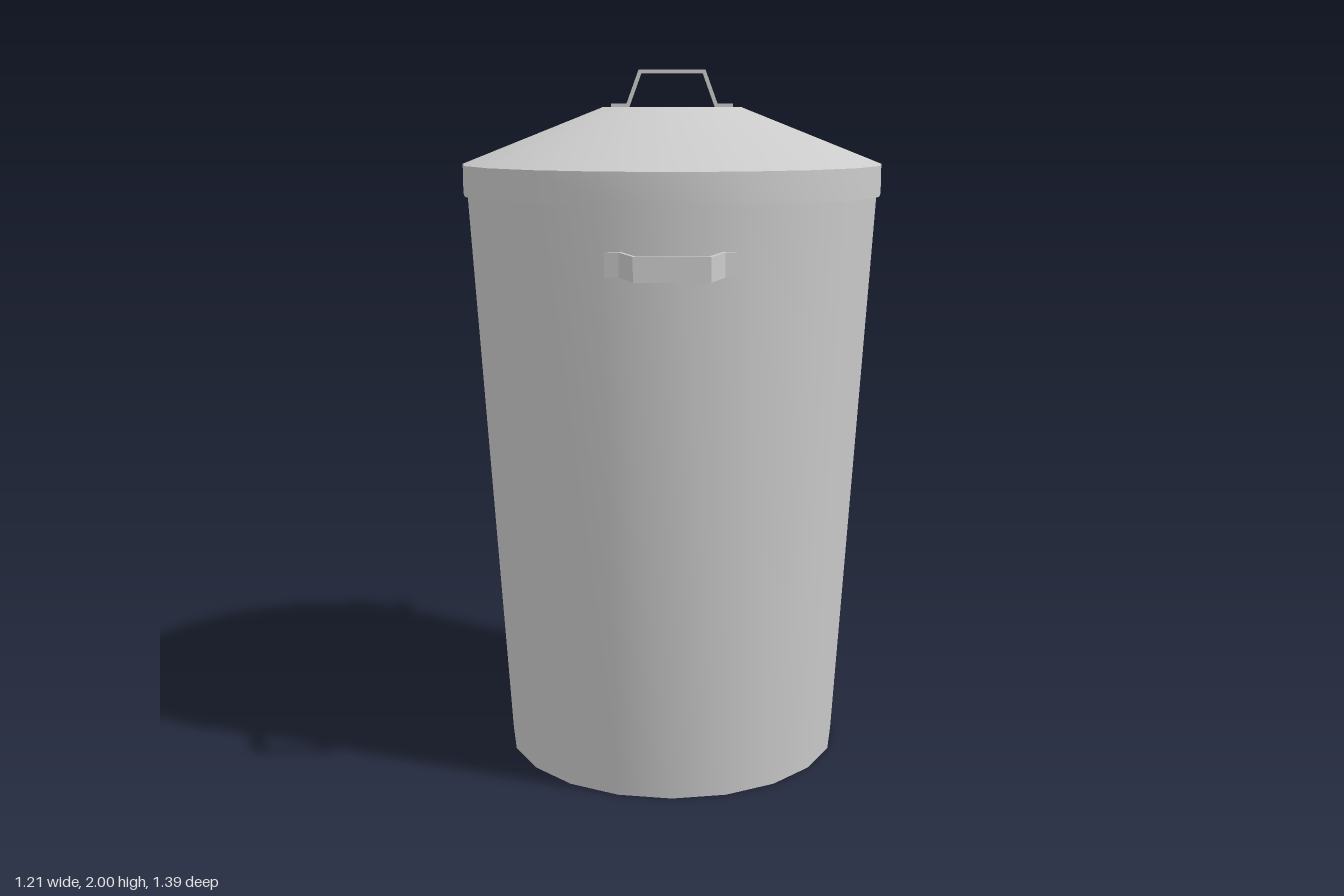
import * as THREE from 'three';
import { toCreasedNormals } from 'three/addons/utils/BufferGeometryUtils.js';

const SIDES = 20;
const material = new THREE.MeshStandardMaterial({ color: 0xcccccc });

function addMesh(parent, name, geometry) {
  const mesh = new THREE.Mesh(geometry, material);
  mesh.name = name;
  parent.add(mesh);
  return mesh;
}

// Turned part: smooth around, sharp at rims
function turned(profile) {
  const points = profile.map(([r, y]) => new THREE.Vector2(r, y));
  return toCreasedNormals(new THREE.LatheGeometry(points, SIDES), 0.5);
}

// Bent metal strip, mirrored about x = 0, centred on z = 0.
// half: right half of the outer line, from the middle of the grip to the foot
function strip(half, width, thickness = 0.01) {
  const outer = [...half.map(([x, y]) => [-x, y]).reverse(), ...half];
  // shift the line along its mitred normals to get the inner line
  const normal = (a, b) => new THREE.Vector2(b[1] - a[1], a[0] - b[0]).normalize();
  const inner = outer.map((p, i) => {
    const n1 = normal(outer[Math.max(i - 1, 0)], outer[Math.max(i, 1)]);
    const last = outer.length - 1;
    const n2 = normal(outer[Math.min(i, last - 1)], outer[Math.min(i + 1, last)]);
    const m = n1.clone().add(n2).normalize();
    const d = thickness / m.dot(n1);
    return [p[0] + m.x * d, p[1] + m.y * d];
  });
  const shape = new THREE.Shape(
    [...outer, ...inner.reverse()].map(([x, y]) => new THREE.Vector2(x, y)));
  const geometry = new THREE.ExtrudeGeometry(shape, { depth: width, bevelEnabled: false });
  return geometry.translate(0, 0, -width / 2);
}

export function createModel() {
  const model = new THREE.Group();
  model.name = 'dustbin';

  // Tapered body with a closed bottom
  addMesh(model, 'body', turned([[0, 0], [0.493, 0], [0.594, 1.66]]));

  // Lid: overhanging rim, sloping cone and small flat top
  addMesh(model, 'lid', turned([
    [0.58, 1.65], [0.605, 1.65], [0.605, 1.735], [0.2, 1.895], [0, 1.895],
  ]));

  // Grip on top of the lid
  addMesh(model, 'lidHandle', strip([[0.095, 2], [0.13, 1.905], [0.174, 1.905]], 0.05));

  // Carrying handles at front and back, feet following the wall
  for (const [name, turn] of [['frontHandle', 0], ['backHandle', Math.PI]]) {
    const geometry = strip([[0.097, 0.695], [0.136, 0.575], [0.174, 0.566]], 0.064);
    geometry.rotateX(Math.PI / 2);
    geometry.translate(0, 1.5, 0);
    addMesh(model, name, geometry).rotation.y = turn;
  }
  return model;
}
